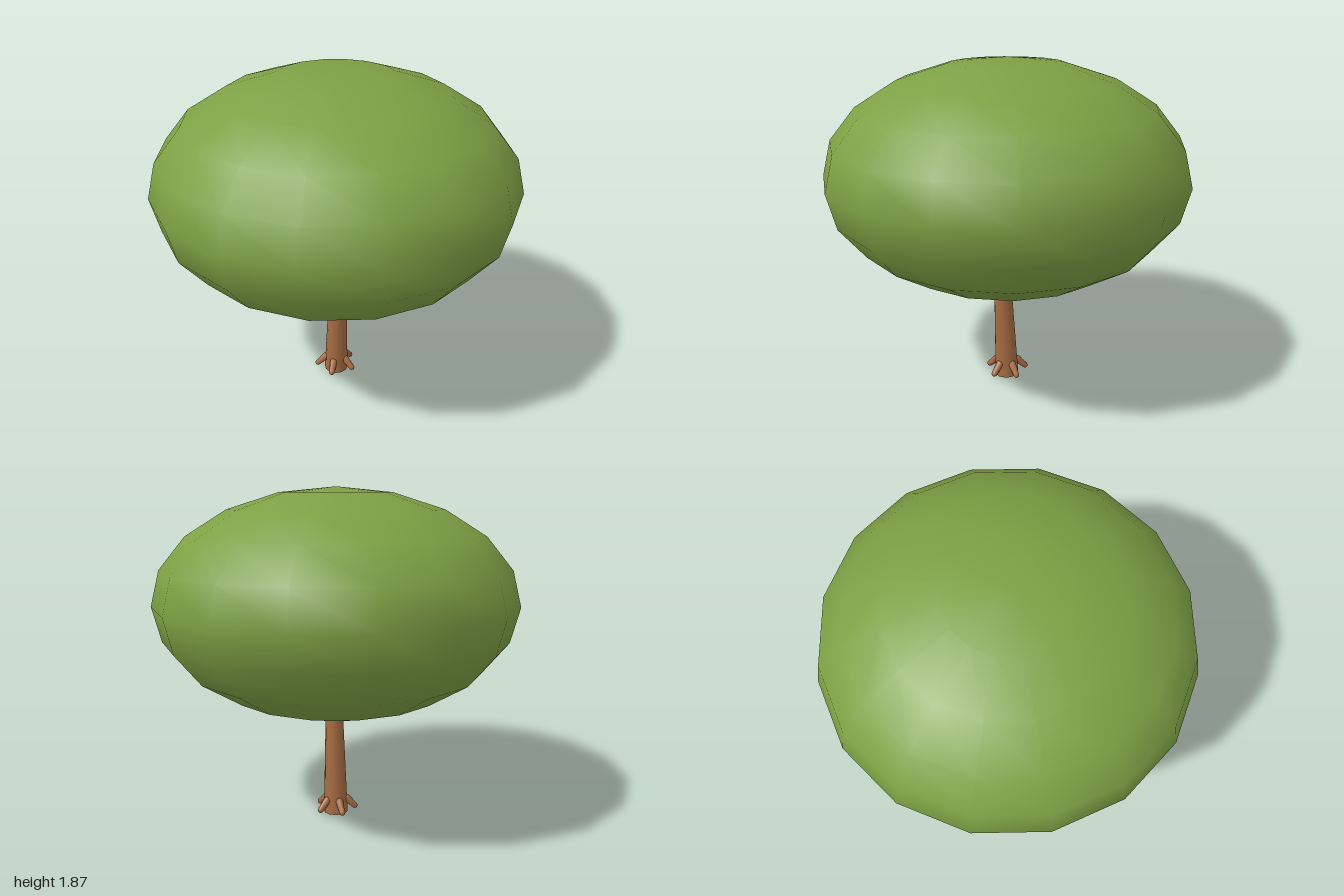
import * as THREE from 'three';

export function createModel() {
  const tree = new THREE.Group();
  tree.name = 'tree';
  const leafMaterial = new THREE.MeshStandardMaterial({ color: 0x7da044 });
  const barkMaterial = new THREE.MeshStandardMaterial({ color: 0xa56b42 });

  const add = (name, geometry, material, parent = tree) => {
    const mesh = new THREE.Mesh(geometry, material);
    mesh.name = name;
    parent.add(mesh);
    return mesh;
  };

  // Flattened round crown
  const crown = add('crown', new THREE.SphereGeometry(1, 16, 10), leafMaterial);
  crown.scale.y = 0.625;
  crown.position.y = 1.25;

  // Tapered trunk, leaning slightly, its top buried in the crown
  const trunkHeight = 0.75;
  const trunkGeometry = new THREE.CylinderGeometry(0.045, 0.07, trunkHeight, 12);
  trunkGeometry.translate(0, trunkHeight / 2, 0);
  const trunk = add('trunk', trunkGeometry, barkMaterial);
  trunk.position.y = 0.004;
  trunk.rotation.set(0.024, 0, -0.035);

  // Root profile: a tapered capsule, narrow rounded tip at the bottom
  const length = 0.068, tipRadius = 0.017, baseRadius = 0.022;
  const profile = [];
  for (let i = 0; i <= 4; i++) {
    const a = (i / 4) * Math.PI / 2;
    profile.push(new THREE.Vector2(tipRadius * Math.sin(a), -length / 2 - tipRadius * Math.cos(a)));
  }
  for (let i = 0; i <= 4; i++) {
    const a = (i / 4) * Math.PI / 2;
    profile.push(new THREE.Vector2(baseRadius * Math.cos(a), length / 2 + baseRadius * Math.sin(a)));
  }
  const rootGeometry = new THREE.LatheGeometry(profile, 10);

  // Five roots spread evenly around the foot
  const roots = new THREE.Group();
  roots.name = 'roots';
  tree.add(roots);
  for (let i = 0; i < 5; i++) {
    const spoke = new THREE.Group();
    spoke.name = 'rootSpoke';
    spoke.rotation.y = (i / 5) * Math.PI * 2;
    roots.add(spoke);
    const root = add('root', rootGeometry, barkMaterial, spoke);
    root.position.set(0.087, 0.061, 0);
    root.rotation.z = 0.8;
  }
  return tree;
}
